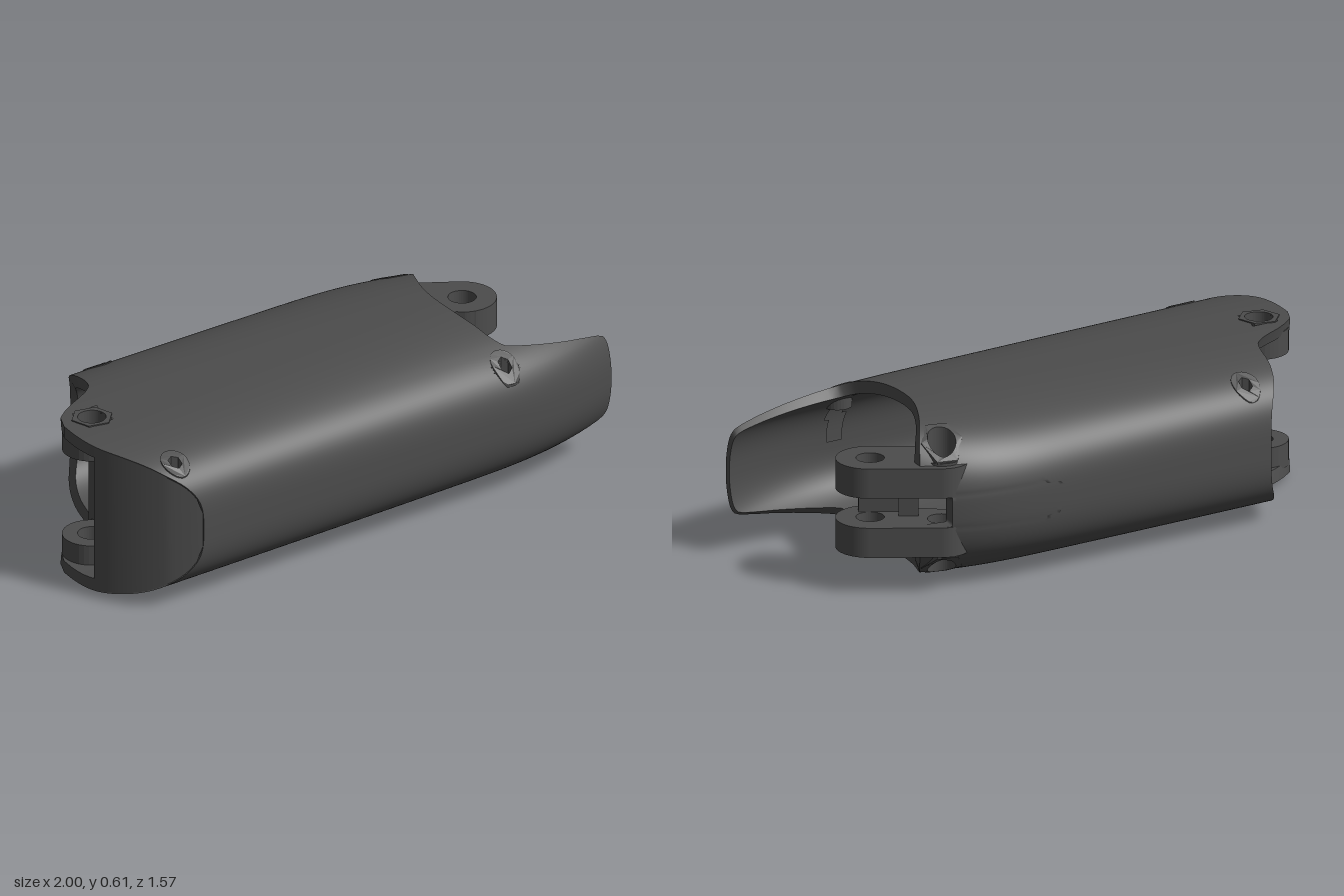
import * as THREE from 'three';

const CY = 0.305, VC = -0.12, HALF_W = 0.49;
const ROWS = 90, AROUND = 168;
const PINS = [[-0.89, 0.44], [0.25, -0.68]];
const SCREWS = [[-0.83, -0.09], [-0.62, 0.72], [0.6, -0.03]];
const mat = new THREE.MeshStandardMaterial({ color: 0x4c4c4c, side: THREE.DoubleSide });
const { clamp, lerp } = THREE.MathUtils;

// u runs along the slanted body, v across it
const toX = (u, v) => 0.839 * u + 0.545 * v;
const toZ = (u, v) => -0.545 * u + 0.839 * v;

// Section size and squareness along the body
const halfHeight = (u) => 0.285 + 0.02 * clamp((u + 1) / 1.4, 0, 1);
const power = (s) => lerp(3.2, 2.5, clamp(s, 0, 1));
function halfWidth(u, side) {
  if (side > 0) return HALF_W - 0.085 * Math.pow(Math.max(0, (u - 0.5) / 0.5), 2);
  return HALF_W - 0.135 * Math.pow(Math.max(0, (u - 0.1) / 0.6), 3);
}

// Where the shell is trimmed at each end, as [v, u]
const NEAR_END = [[-0.61, -0.7], [-0.55, -0.753], [-0.476, -0.788], [-0.337, -0.831], [-0.289, -0.886], [-0.238, -0.991],
  [-0.176, -1.079], [-0.089, -1.111], [0.063, -1.115], [0.176, -1.069], [0.295, -0.979], [0.345, -0.91], [0.37, -0.864]];
const FAR_END = [[-0.61, 0.7], [-0.481, 0.653], [-0.322, 0.582], [-0.185, 0.533], [-0.037, 0.513], [0.113, 0.523],
  [0.235, 0.563], [0.264, 0.65], [0.295, 0.79], [0.317, 0.92], [0.33, 0.985], [0.37, 1.005]];

// Smooth curve through a table
function lookup(table, v) {
  const last = table.length - 1;
  const slope = (i, j) => (table[j][1] - table[i][1]) / (table[j][0] - table[i][0]);
  const tangent = (i) => slope(Math.max(0, i - 1), Math.min(last, i + 1));
  const x = clamp(v, table[0][0], table[last][0]);
  let i = 0;
  while (i < last - 1 && x > table[i + 1][0]) i++;
  const d = table[i + 1][0] - table[i][0], t = (x - table[i][0]) / d;
  const blend = t * t * (3 - 2 * t);
  return lerp(table[i][1], table[i + 1][1], blend)
    + d * t * (1 - t) * ((1 - t) * tangent(i) - t * tangent(i + 1));
}

// One point of the shell; inset gives the inner wall
function shellPoint(s, t, inset) {
  const curve = (k) => Math.sign(k) * Math.pow(Math.abs(k), 2 / power(s));
  const c = curve(Math.cos(t)), q = curve(Math.sin(t));
  const vOuter = VC + HALF_W * c;
  let far = lookup(FAR_END, vOuter);
  if (vOuter < -0.3 && Math.abs(q) < 0.2) far = 0.6; // slot behind the link
  const u = lerp(lookup(NEAR_END, vOuter), far, s);
  const wall = inset * (1 - 0.5 * clamp((u - 0.5) / 0.5, 0, 1));
  const v = VC + (halfWidth(u, c) - wall) * c;
  return [toX(u, v), CY + (halfHeight(u) - wall) * q, toZ(u, v)];
}

// Height of the outer skin above the middle plane at a plan position
function skinHeight(x, z) {
  const u = 0.839 * x - 0.545 * z, v = 0.545 * x + 0.839 * z;
  const c = clamp((v - VC) / halfWidth(u, v - VC), -1, 1);
  const near = lookup(NEAR_END, VC + HALF_W * c), far = lookup(FAR_END, VC + HALF_W * c);
  const n = power((u - near) / (far - near));
  return halfHeight(u) * Math.pow(1 - Math.pow(Math.abs(c), n), 1 / n);
}

// Builds a surface from rows of points, leaving out cells that keep() rejects
function surface(rows, closed, flip = false, keep = () => true) {
  const n = rows[0].length, idx = [];
  for (let i = 0; i < rows.length - 1; i++) {
    for (let j = 0; j < (closed ? n : n - 1); j++) {
      const k = (j + 1) % n;
      if (!keep(rows[i][j], rows[i + 1][k])) continue;
      const a = i * n + j, b = i * n + k, c = a + n, d = b + n;
      if (flip) idx.push(a, b, c, b, d, c);
      else idx.push(a, c, b, b, c, d);
    }
  }
  const g = new THREE.BufferGeometry();
  g.setAttribute('position', new THREE.Float32BufferAttribute(rows.flat(2), 3));
  g.setIndex(idx);
  g.computeVertexNormals();
  return g;
}

function shellRows(inset) {
  return Array.from({ length: ROWS + 1 }, (_, i) =>
    Array.from({ length: AROUND }, (_, j) => shellPoint(i / ROWS, (j / AROUND) * Math.PI * 2, inset)));
}

// Upright plate from a plan outline, with round holes [x, z, r]
function plate(shape, holes, y0, y1) {
  for (const [x, z, r] of holes) shape.holes.push(new THREE.Path().absarc(x, -z, r, 0, Math.PI * 2, true));
  const g = new THREE.ExtrudeGeometry(shape, { depth: y1 - y0, bevelEnabled: false, curveSegments: 24 });
  return g.rotateX(-Math.PI / 2).translate(0, y0, 0);
}

// Plate whose outer face follows the skin; side is 1 for the top, -1 for the bottom
function drapedPlate(shape, holes, base, offset, side) {
  const g = plate(shape, holes, 0, 1), p = g.attributes.position;
  for (let i = 0; i < p.count; i++) {
    const top = Math.max(base + 0.01, skinHeight(p.getX(i), p.getZ(i)) + offset);
    p.setY(i, CY + side * (p.getY(i) > 0.5 ? top : base));
  }
  g.computeVertexNormals();
  return g;
}

function polygon(x, z, r, sides, turn = 0) {
  return new THREE.Shape(Array.from({ length: sides }, (_, i) => {
    const a = turn + (i / sides) * Math.PI * 2;
    return new THREE.Vector2(x + r * Math.cos(a), -z + r * Math.sin(a));
  }));
}

export function createModel() {
  const model = new THREE.Group();
  const add = (name, geometry) => {
    const mesh = new THREE.Mesh(geometry, mat);
    mesh.name = name;
    model.add(mesh);
  };

  // Hollow body with the long curved lip, pierced at pins and screws
  const outer = shellRows(0), inner = shellRows(0.045);
  const clear = (p, q) => {
    const away = (r) => ([x, z]) => Math.hypot((p[0] + q[0]) / 2 - x, (p[2] + q[2]) / 2 - z) > r;
    return PINS.every(away(0.06)) && (p[1] < CY || SCREWS.every(away(0.036)));
  };
  add('bodyOuter', surface(outer, true, true, clear));
  add('bodyInner', surface(inner, true, false, clear));
  add('nearRim', surface([inner[0], outer[0]], true, true));
  add('farRim', surface([outer[ROWS], inner[ROWS]], true, true));

  // Upright wall closing the near end, then curving in behind the knuckle pin
  const wall = (name, pts) => {
    add(name, surface(pts.map(([u, v]) => {
      const x = toX(u, v), z = toZ(u, v), h = skinHeight(x, z) - 0.004;
      return [[x, CY - h, z], [x, CY + h, z]];
    }), false));
  };
  wall('endWall', Array.from({ length: 33 }, (_, i) => {
    const v = 0.063 + 0.305 * i / 32;
    return [lookup(NEAR_END, v), v];
  }));
  const recess = new THREE.CatmullRomCurve3(
    [[-1.115, 0.063], [-0.96, 0.03], [-0.85, -0.08], [-0.82, -0.2], [-0.83, -0.337]].map(([u, v]) => new THREE.Vector3(u, v, 0)));
  wall('knuckleRecess', recess.getPoints(24).map((p) => [p.x, p.y]));

  // Bosses and six-sided collars around both pins, top and bottom
  PINS.forEach(([x, z], i) => {
    const radius = [0.105, 0.075][i];
    for (const side of [1, -1]) {
      add('pinBoss', drapedPlate(polygon(x, z, radius, 36), [[x, z, 0.05]], 0.165, -0.03, side));
      add('hexCollar', drapedPlate(polygon(x, z, 0.076, 6, 0.3), [[x, z, 0.05]], 0.17, 0.004, side));
    }
  });

  // Forked link at the far end, its ears joined by a web
  for (const [y0, y1] of [[0.14, 0.25], [0.36, 0.47]]) {
    const s = new THREE.Shape();
    s.absarc(0.25, 0.68, 0.1, Math.PI * 0.5, Math.PI * 1.5, false);
    s.absarc(0.5, 0.655, 0.122, -Math.PI * 0.5, Math.PI * 0.5, false);
    add('linkEar', plate(s, [[0.25, -0.68, 0.05], [0.5, -0.655, 0.05]], y0, y1));
  }
  add('linkBridge', new THREE.BoxGeometry(0.07, 0.33, 0.11).translate(0.365, CY, -0.595));
  add('linkWeb', new THREE.BoxGeometry(0.21, 0.33, 0.065).translate(0.435, CY, -0.5705));

  // Socket-head screws set flush in the top face
  for (const [x, z] of SCREWS) {
    const h = skinHeight(x, z);
    const head = polygon(x, z, 0.052, 28);
    head.holes.push(new THREE.Path(polygon(x, z, 0.025, 6).getPoints().reverse()));
    add('screwHead', drapedPlate(head, [], h - 0.06, 0.005, 1));
    add('screwSocketFloor', new THREE.CylinderGeometry(0.04, 0.04, 0.01, 20).translate(x, CY + h - 0.045, z));
  }
  return model;
}
